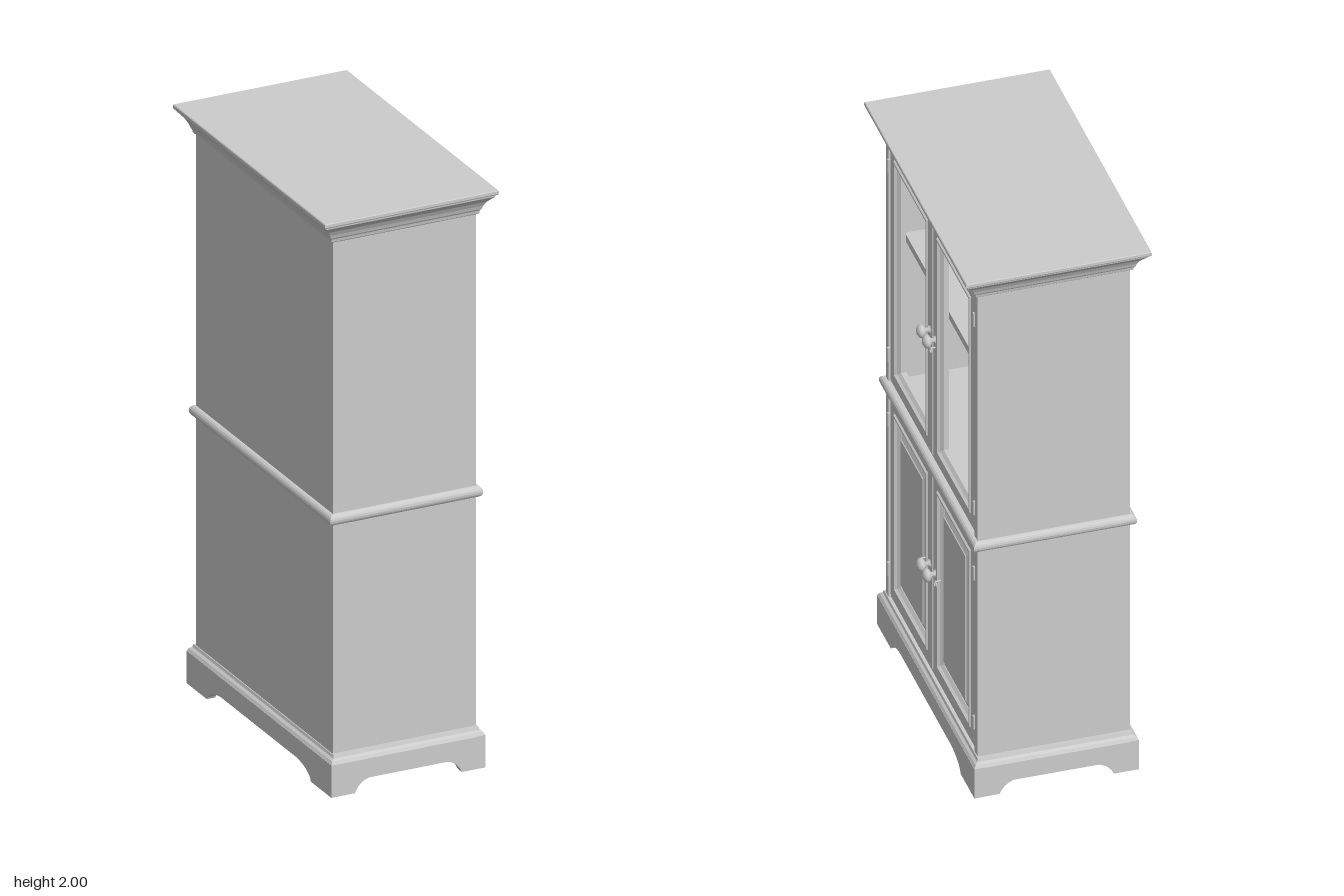
import * as THREE from 'three';

const HW = 0.485, HD = 0.254; // half width and half depth of the carcass
const material = new THREE.MeshStandardMaterial({ color: 0xcccccc });

function add(parent, name, geometry, x = 0, y = 0, z = 0) {
  const mesh = new THREE.Mesh(geometry, material);
  mesh.name = name;
  mesh.position.set(x, y, z);
  parent.add(mesh);
  return mesh;
}

// Box given by its lower and upper corners
function box(parent, name, [x0, y0, z0], [x1, y1, z1]) {
  return add(parent, name, new THREE.BoxGeometry(x1 - x0, y1 - y0, z1 - z0),
    (x0 + x1) / 2, (y0 + y1) / 2, (z0 + z1) / 2);
}

// Mitred moulding round a rectangle. Profile points are [outset, height], counter-clockwise.
// 'closed' joins the last point to the first; otherwise both ends are capped.
function moulding(profile, halfX, halfZ, closed) {
  const rings = profile.map(([o, h]) =>
    [[1, 1], [1, -1], [-1, -1], [-1, 1]].map(([sx, sz]) => [sx * (halfX + o), h, sz * (halfZ + o)]));
  const pos = [];
  const quad = (a, b, c, d) => pos.push(...a, ...b, ...c, ...a, ...c, ...d);
  const n = rings.length;
  for (let i = 0; i < (closed ? n : n - 1); i++) {
    const lo = rings[i], hi = rings[(i + 1) % n];
    for (let k = 0; k < 4; k++) quad(lo[k], lo[(k + 1) % 4], hi[(k + 1) % 4], hi[k]);
  }
  if (!closed) {
    quad(...rings[n - 1]);
    quad(...rings[0].slice().reverse());
  }
  const g = new THREE.BufferGeometry();
  g.setAttribute('position', new THREE.Float32BufferAttribute(pos, 3));
  g.computeVertexNormals();
  return g;
}

// Plinth board with feet and a scalloped lower edge
function plinthBoard(half, footInner, archStart) {
  const s = new THREE.Shape();
  s.moveTo(-half, 0);
  s.lineTo(-footInner, 0);
  s.quadraticCurveTo(-footInner + 0.015, 0.036, -archStart, 0.045);
  s.lineTo(archStart, 0.045);
  s.quadraticCurveTo(footInner - 0.015, 0.036, footInner, 0);
  s.lineTo(half, 0);
  s.lineTo(half, 0.112);
  s.lineTo(-half, 0.112);
  s.closePath();
  return new THREE.ExtrudeGeometry(s, { depth: 0.03, bevelEnabled: false, curveSegments: 8 });
}

// Turned knob pointing along +z
function knob() {
  const pts = [[0, 0], [0.014, 0], [0.014, 0.004], [0.008, 0.008], [0.008, 0.015],
    [0.019, 0.021], [0.024, 0.029], [0.021, 0.037], [0.012, 0.043], [0, 0.045]];
  return new THREE.LatheGeometry(pts.map(p => new THREE.Vector2(...p)), 20).rotateX(Math.PI / 2);
}

function door(parent, name, side, y0, y1, glazed) {
  const g = new THREE.Group();
  g.name = name;
  const cx = side * 0.2275, cy = (y0 + y1) / 2, border = 0.073;
  const hx = 0.2235 - border, hy = (y1 - y0) / 2 - border;
  // Frame with a raised bead around the opening
  add(g, 'doorFrame', moulding([[border, -0.03], [border, -0.004], [border - 0.004, 0], [0.027, 0],
    [0.023, 0.006], [0.016, 0.006], [0.011, -0.003], [0, -0.012], [0, -0.03]], hx, hy, true)
    .rotateX(Math.PI / 2), cx, cy, 0.25);
  // Fielded panel in solid doors
  if (!glazed) add(g, 'doorPanel', moulding([[0, -0.028], [0, -0.014], [-0.006, -0.014],
    [-0.034, -0.003], [-0.036, 0]], hx, hy, false).rotateX(Math.PI / 2), cx, cy, 0.25);
  // Hinges
  for (const y of [y0 + 0.1, y1 - 0.1])
    add(g, 'hinge', new THREE.CylinderGeometry(0.006, 0.006, 0.05, 10), side * 0.453, y, 0.254);
  // Knob with a small key beside or beneath it
  const ky = glazed ? 1.445 : 0.545;
  add(g, 'knob', knob(), side * 0.031, ky, 0.25);
  const kx = side * (glazed ? 0.024 : 0.07), keyY = glazed ? 1.402 : 0.533;
  add(g, 'keyBow', new THREE.TorusGeometry(0.009, 0.003, 6, 14), kx, keyY, 0.264);
  add(g, 'keyStem', new THREE.CylinderGeometry(0.003, 0.003, 0.02, 8).rotateX(Math.PI / 2), kx, keyY + 0.009, 0.256);
  parent.add(g);
}

export function createModel() {
  const root = new THREE.Group();
  root.name = 'cabinet';
  // Built with its doors toward local +z, then turned to face +x
  const body = new THREE.Group();
  body.name = 'cabinetBody';
  body.rotation.y = Math.PI / 2;
  root.add(body);

  // Carcass
  const t = 0.03, inner = HW - t;
  for (const s of [-1, 1])
    box(body, 'sidePanel', [Math.min(s * HW, s * inner), 0.11, -HD], [Math.max(s * HW, s * inner), 1.93, HD]);
  box(body, 'backPanel', [-inner, 0.11, -HD], [inner, 1.93, -HD + 0.02]);
  box(body, 'bottomPanel', [-inner, 0.07, -HD + 0.02], [inner, 0.148, 0.246]);
  box(body, 'middlePanel', [-inner, 0.924, -HD + 0.02], [inner, 0.973, 0.246]);
  box(body, 'topPanel', [-inner, 1.9, -HD + 0.02], [inner, 1.93, 0.246]);
  box(body, 'shelf', [-inner, 1.503, -HD + 0.02], [inner, 1.53, 0.2]);

  // Doors
  for (const s of [-1, 1]) {
    door(body, 'glazedDoor', s, 0.975, 1.9, true);
    door(body, 'panelDoor', s, 0.15, 0.924, false);
  }

  // Half-round waist moulding
  const waist = [[-0.01, 0.93]];
  for (let i = 0; i <= 8; i++) {
    const a = -Math.PI / 2 + (i / 8) * Math.PI;
    waist.push([0.002 + 0.016 * Math.cos(a), 0.949 + 0.019 * Math.sin(a)]);
  }
  waist.push([-0.01, 0.968]);
  add(body, 'waistMoulding', moulding(waist, HW, HD, true));

  // Crown
  add(body, 'crown', moulding([[0.003, 1.908], [0.008, 1.912], [0.01, 1.922], [0.014, 1.928],
    [0.018, 1.94], [0.027, 1.956], [0.04, 1.97], [0.046, 1.976], [0.047, 1.983], [0.053, 1.984],
    [0.055, 1.988], [0.055, 1.997], [0.053, 2]], HW, HD, false));

  // Plinth
  const px = 0.515, pz = 0.274;
  for (const s of [0, 1]) {
    const turn = new THREE.Group();
    turn.name = 'plinthSide';
    turn.rotation.y = s * Math.PI;
    add(turn, 'longPlinthBoard', plinthBoard(px, 0.37, 0.27), 0, 0, pz - 0.03);
    add(turn, 'shortPlinthBoard', plinthBoard(pz - 0.0005, 0.19, 0.14).rotateY(Math.PI / 2), px - 0.0305, 0, 0);
    body.add(turn);
  }
  add(body, 'plinthCap', moulding([[-0.04, 0.111], [0, 0.111], [-0.006, 0.122], [-0.014, 0.128],
    [-0.017, 0.138], [-0.04, 0.138]], px, pz, true));
  return root;
}
